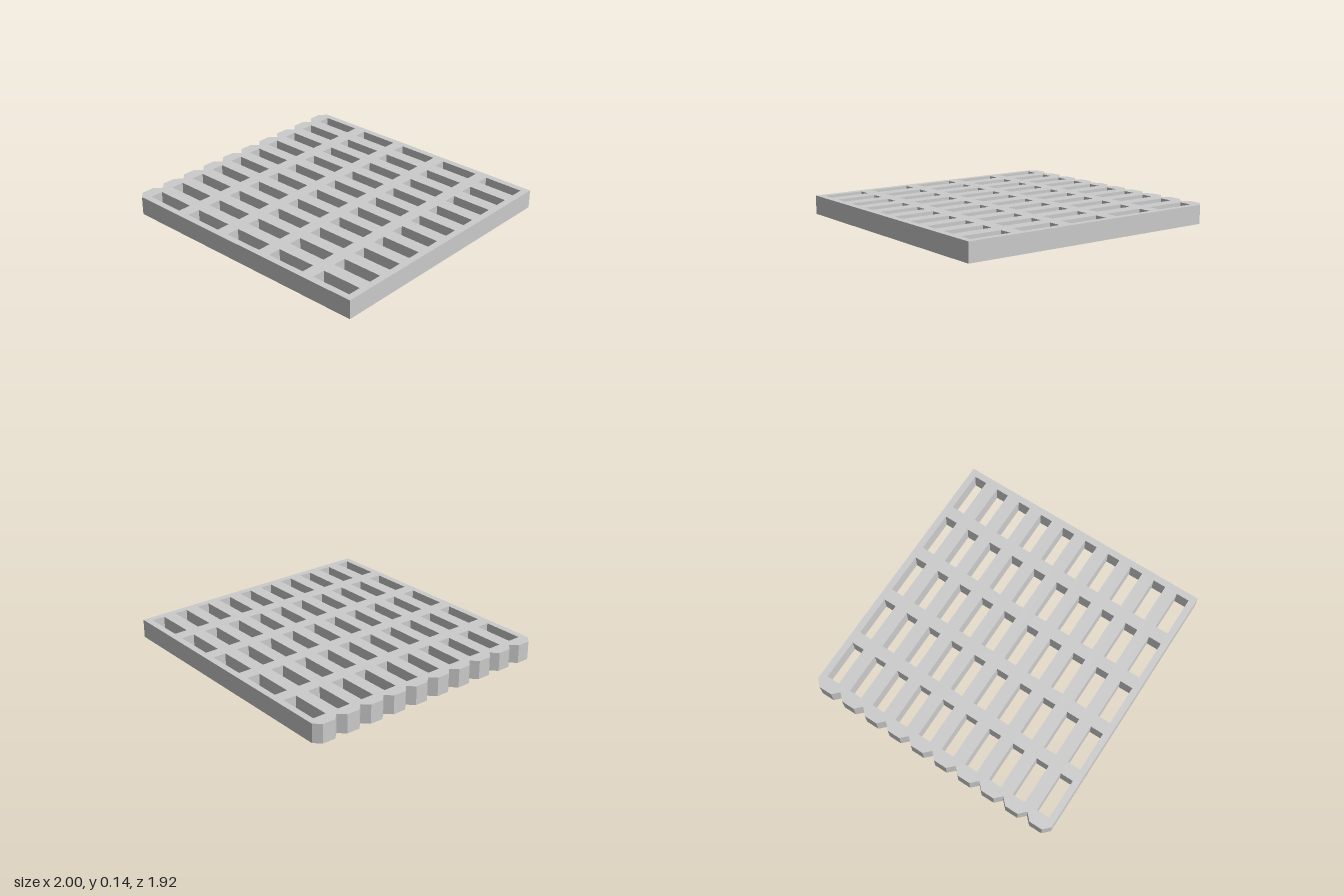
import * as THREE from 'three';

const ROWS = 10, COLS = 5, HEIGHT = 0.135;
const PITCH_Z = 0.1916, HALF_Z = PITCH_Z * ROWS / 2;
const SLOT_W = 0.298, SLOT_D = 0.096, PITCH_X = 0.39, FIRST_X = -0.907;
const NOTCH = 0.048;

export function createModel() {
  const group = new THREE.Group();
  group.name = 'slottedPanel';

  // Outline: three straight sides and one toothed edge at -x
  const outline = new THREE.Shape();
  outline.moveTo(-1 + NOTCH, -HALF_Z);
  outline.lineTo(1, -HALF_Z);
  outline.lineTo(1, HALF_Z);
  outline.lineTo(-1 + NOTCH, HALF_Z);
  for (let row = ROWS - 1; row >= 0; row--) {
    const centre = -HALF_Z + PITCH_Z * (row + 0.5);
    outline.lineTo(-1, centre + NOTCH);
    outline.lineTo(-1, centre - NOTCH);
    outline.lineTo(-1 + NOTCH, centre - PITCH_Z / 2);
  }

  // Grid of rectangular through-slots, one row per tooth
  for (let row = 0; row < ROWS; row++) {
    const y0 = -HALF_Z + PITCH_Z * (row + 0.5) - SLOT_D / 2;
    for (let col = 0; col < COLS; col++) {
      const x0 = FIRST_X + PITCH_X * col;
      const slot = new THREE.Path();
      slot.moveTo(x0, y0);
      slot.lineTo(x0, y0 + SLOT_D);
      slot.lineTo(x0 + SLOT_W, y0 + SLOT_D);
      slot.lineTo(x0 + SLOT_W, y0);
      slot.closePath();
      outline.holes.push(slot);
    }
  }

  // Lay the extruded panel flat on the ground
  const geometry = new THREE.ExtrudeGeometry(outline, { depth: HEIGHT, bevelEnabled: false });
  geometry.rotateX(-Math.PI / 2);
  const panel = new THREE.Mesh(
    geometry,
    new THREE.MeshStandardMaterial({ color: 0xcccccc, flatShading: true })
  );
  panel.name = 'panel';
  group.add(panel);
  return group;
}
